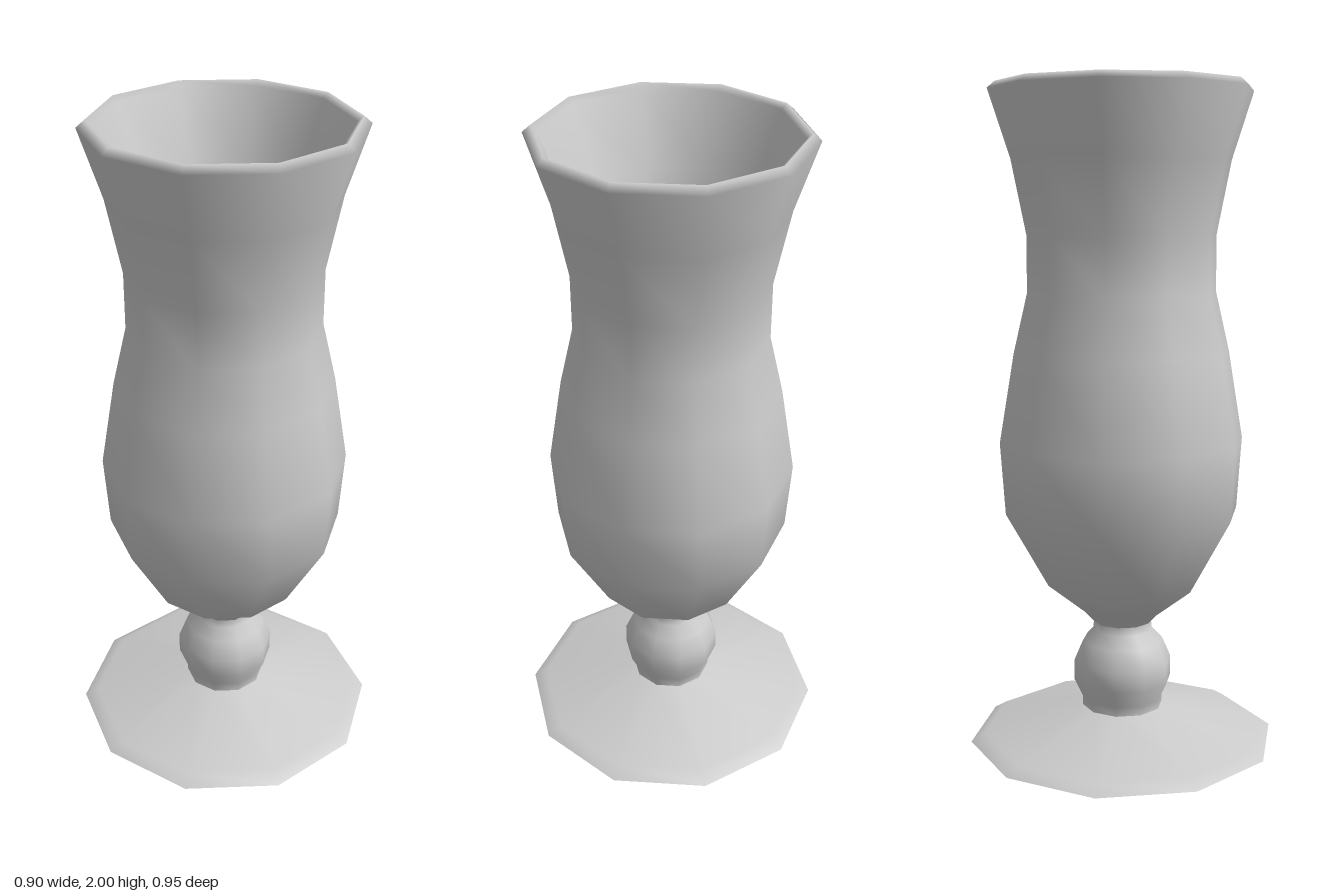
import * as THREE from 'three';

const SIDES = 10;

// Revolves a [radius, height] profile into a ten-sided smooth-shaded part
function turned(name, profile, material) {
  const points = profile.map(([r, y]) => new THREE.Vector2(r, y));
  const mesh = new THREE.Mesh(new THREE.LatheGeometry(points, SIDES), material);
  mesh.name = name;
  return mesh;
}

export function createModel() {
  const glass = new THREE.Group();
  glass.name = 'footedGlass';
  const material = new THREE.MeshStandardMaterial({ color: 0xcccccc });

  // Flat underside of the foot
  glass.add(turned('footUnderside', [[0, 0], [0.475, 0]], material));

  // Sloping foot with a bevelled edge
  glass.add(turned('foot', [[0.475, 0], [0.432, 0.026], [0.125, 0.102]], material));

  // Stem with a rounded knob, pinched below the bowl
  glass.add(turned('stem', [
    [0.125, 0.102], [0.125, 0.13], [0.151, 0.185], [0.151, 0.25],
    [0.125, 0.31], [0.092, 0.345], [0.09, 0.372],
  ], material));

  // Bowl: outer wall, rim, then inner wall down to the closed floor
  glass.add(turned('bowl', [
    [0.09, 0.372], [0.115, 0.4], [0.23, 0.49], [0.358, 0.72], [0.373, 0.94],
    [0.328, 1.21], [0.286, 1.39], [0.286, 1.56], [0.33, 1.78], [0.395, 1.98],
    [0.372, 2], [0.355, 1.985],
    [0.28, 1.78], [0.212, 1.56], [0.212, 1.39], [0.265, 1.21], [0.305, 0.94],
    [0.29, 0.74], [0.18, 0.56], [0, 0.5],
  ], material));

  return glass;
}
